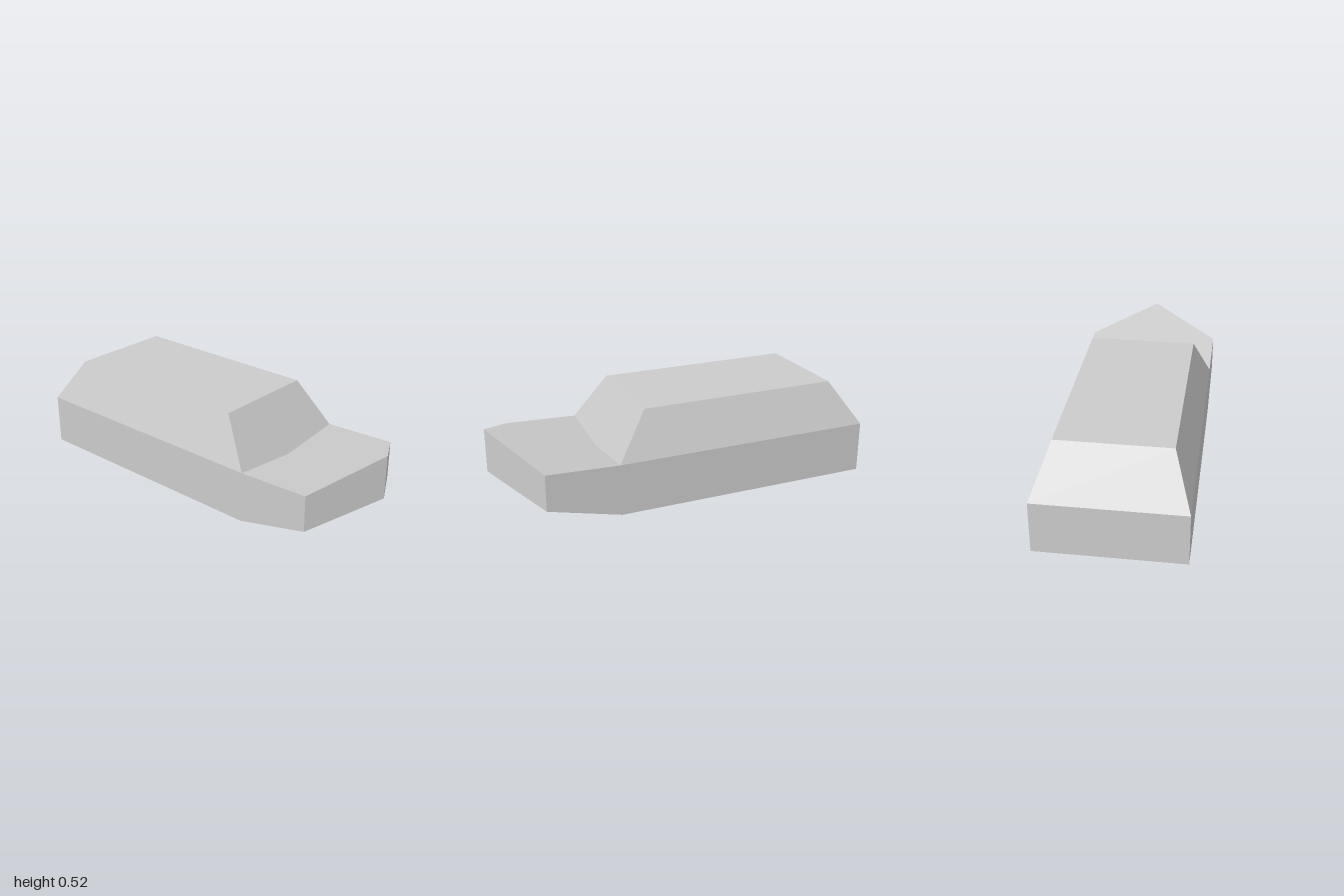
import * as THREE from 'three';

export function createModel() {
  const model = new THREE.Group();
  model.name = 'lowPolyVehicle';
  const grey = new THREE.MeshStandardMaterial({ color: 0xcccccc });
  grey.name = 'light grey';

  // One flat-shaded panel: a triangle fan from the first corner, sharing one average normal
  function panel(name, corners) {
    const normal = new THREE.Vector3();
    const index = [];
    corners.forEach((p, i) => {
      const q = corners[(i + 1) % corners.length];
      normal.x += (p[1] - q[1]) * (p[2] + q[2]);
      normal.y += (p[2] - q[2]) * (p[0] + q[0]);
      normal.z += (p[0] - q[0]) * (p[1] + q[1]);
      if (i > 1) index.push(0, i - 1, i);
    });
    normal.normalize();
    const g = new THREE.BufferGeometry();
    g.setAttribute('position', new THREE.Float32BufferAttribute(corners.flat(), 3));
    g.setAttribute('normal', new THREE.Float32BufferAttribute(corners.flatMap(() => normal.toArray()), 3));
    g.setIndex(index);
    const mesh = new THREE.Mesh(g, grey);
    mesh.name = name;
    model.add(mesh);
  }
  const flip = ([x, y, z]) => [-x, y, z];
  // A panel and its mirror image across x = 0
  function pair(name, corners) {
    panel(name + 'Left', corners);
    panel(name + 'Right', corners.map(flip).reverse());
  }

  // Corners on the model's left (+x) and on the centre line
  const W = 0.373;
  const floorBack = [W, 0, -1], floorFront = [W, 0, 0.41];
  const beltBack = [W, 0.275, -1], beltFront = [W, 0.275, 0.415];
  const noseTop = [W, 0.29, 0.8], noseLow = [W, 0.097, 0.8];
  const roofBack = [0.284, 0.518, -0.83], roofFront = [0.284, 0.518, 0.25];
  const tipTop = [0, 0.423, 1], tipLow = [0, 0.192, 1];
  const cowl = [0, 0.235, 0.415];

  // Lower body
  pair('bodySide', [floorBack, beltBack, beltFront, noseTop, noseLow, floorFront]);
  panel('bodyBack', [floorBack, flip(floorBack), flip(beltBack), beltBack]);
  panel('floor', [floorBack, floorFront, flip(floorFront), flip(floorBack)]);

  // Pointed nose
  pair('noseFront', [tipTop, tipLow, noseLow, noseTop]);
  panel('hood', [tipTop, noseTop, beltFront, cowl, flip(beltFront), flip(noseTop)]);
  panel('noseUnderside', [tipLow, flip(noseLow), flip(floorFront), floorFront, noseLow]);

  // Tapered cabin
  pair('cabinSide', [beltBack, roofBack, roofFront, beltFront]);
  panel('roof', [roofBack, flip(roofBack), flip(roofFront), roofFront]);
  panel('cabinBack', [beltBack, flip(beltBack), flip(roofBack), roofBack]);
  panel('windshield', [cowl, beltFront, roofFront, flip(roofFront), flip(beltFront)]);

  return model;
}
